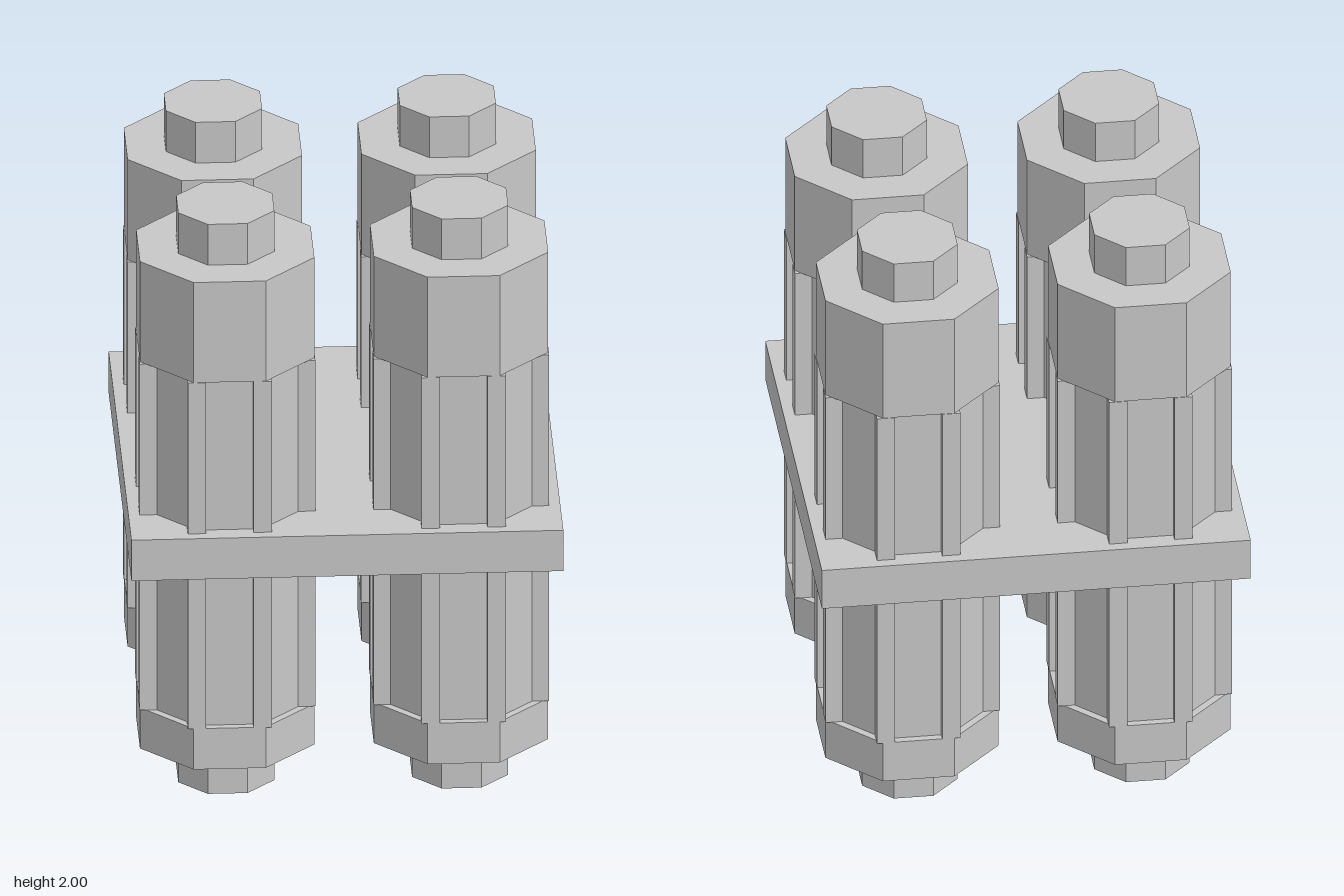
import * as THREE from 'three';

const grey = new THREE.MeshStandardMaterial({ color: 0xc8c8c8, flatShading: true });
grey.name = 'grey metal';

function add(parent, name, geometry, x, y, z) {
  const mesh = new THREE.Mesh(geometry, grey);
  mesh.name = name;
  mesh.position.set(x, y, z);
  parent.add(mesh);
}

// Octagonal prism with flats facing the axes; halfWidth is measured across the flats
function octagon(parent, name, halfWidth, y0, y1) {
  const r = halfWidth / Math.cos(Math.PI / 8);
  const geometry = new THREE.CylinderGeometry(r, r, y1 - y0, 8).rotateY(Math.PI / 8);
  add(parent, name, geometry, 0, (y0 + y1) / 2, 0);
}

function createCanister() {
  const canister = new THREE.Group();
  canister.name = 'canister';
  octagon(canister, 'bottomStub', 0.152, 0, 0.147);
  octagon(canister, 'bottomCap', 0.276, 0.147, 0.29);
  octagon(canister, 'shaft', 0.252, 0.29, 1.505);
  octagon(canister, 'topCap', 0.276, 1.505, 1.857);
  octagon(canister, 'topStub', 0.152, 1.857, 2);

  // A pair of raised ribs on each of the four axis-facing sides
  for (let i = 0; i < 4; i++) {
    const side = new THREE.Group();
    side.name = 'ribPair';
    side.rotation.y = i * Math.PI / 2;
    for (const s of [-1, 1]) {
      add(side, 'rib', new THREE.BoxGeometry(0.058, 1.215, 0.057), s * 0.104, 0.8975, 0.2495);
    }
    canister.add(side);
  }
  return canister;
}

export function createModel() {
  const model = new THREE.Group();
  model.name = 'canisterCluster';

  // Square plate holding the four canisters together
  add(model, 'holderPlate', new THREE.BoxGeometry(1.367, 0.143, 1.367), 0, 0.904, 0);

  for (const x of [-0.37, 0.37]) {
    for (const z of [-0.37, 0.37]) {
      const canister = createCanister();
      canister.position.set(x, 0, z);
      model.add(canister);
    }
  }
  return model;
}
